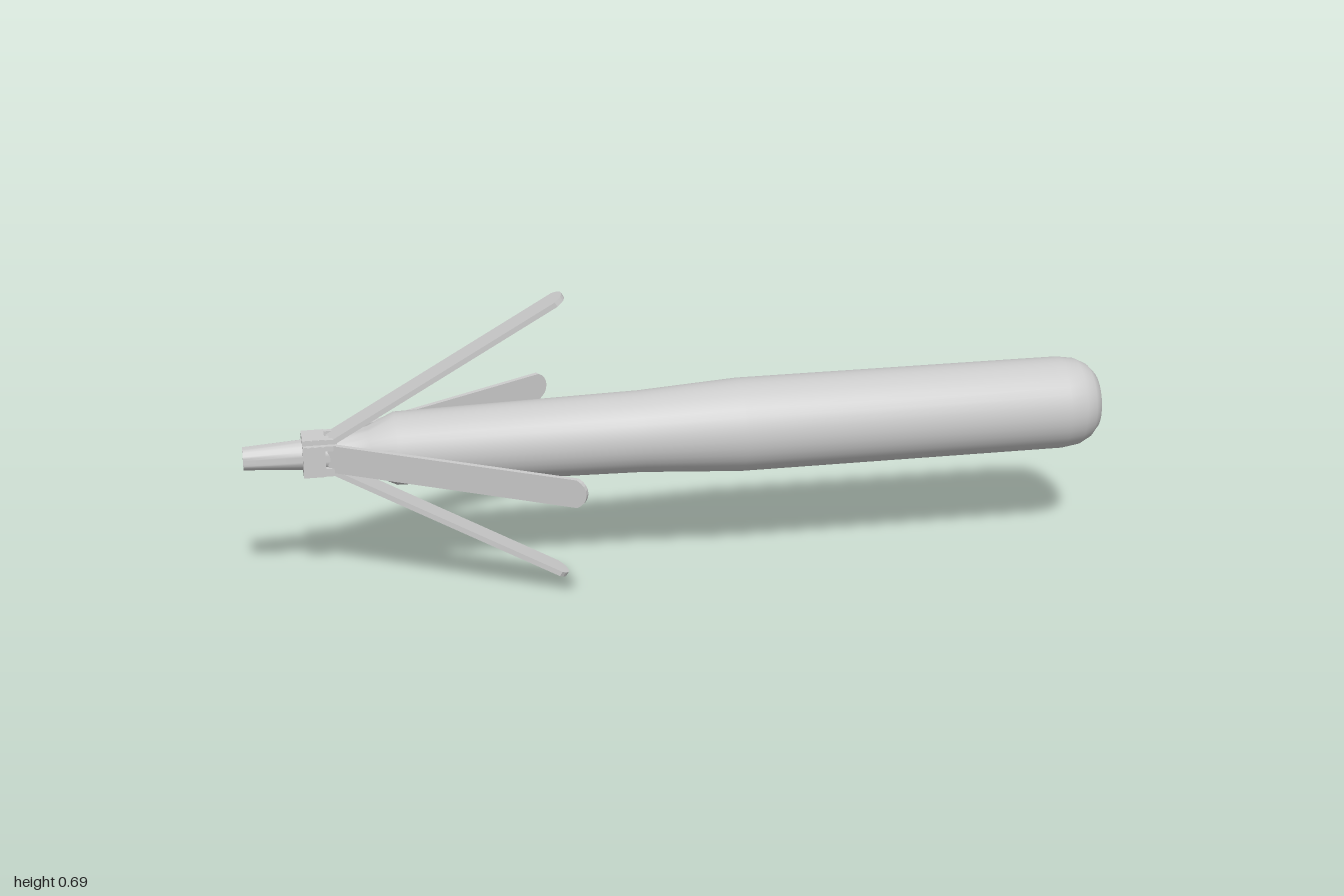
import * as THREE from 'three';
import { toCreasedNormals } from 'three/addons/utils/BufferGeometryUtils.js';

const AXIS_Y = 0.347;

export function createModel() {
  const model = new THREE.Group();
  const material = new THREE.MeshStandardMaterial({ color: 0xcccccc });
  const add = (parent, name, geometry) => {
    const mesh = new THREE.Mesh(geometry, material);
    mesh.name = name;
    parent.add(mesh);
    return mesh;
  };

  // Everything is built around the long axis, then lifted
  const axis = new THREE.Group();
  axis.name = 'projectile';
  axis.position.y = AXIS_Y;
  model.add(axis);

  // Body of revolution: [position along x, radius]
  const profile = [
    [-1, 0], [-1, 0.026], [-0.87, 0.034], [-0.78, 0.042], [-0.72, 0.055],
    [-0.66, 0.083], [-0.1, 0.094], [0.13, 0.108], [0.9, 0.108], [0.94, 0.102],
    [0.967, 0.088], [0.985, 0.068], [0.997, 0.012], [1, 0],
  ].map(([x, r]) => new THREE.Vector2(r, x));
  const body = new THREE.LatheGeometry(profile, 36);
  body.rotateZ(-Math.PI / 2);
  add(axis, 'body', toCreasedNormals(body, Math.PI / 5));

  // Flat fin blade with a rounded tip, lying along x
  const length = 0.62, half = 0.0325, thickness = 0.012;
  const outline = new THREE.Shape();
  outline.moveTo(0, -half);
  outline.lineTo(length - 0.022, -half);
  outline.quadraticCurveTo(length, -half * 0.65, length, 0);
  outline.quadraticCurveTo(length, half * 0.65, length - 0.022, half);
  outline.lineTo(0, half);
  const blade = new THREE.ExtrudeGeometry(outline, {
    depth: thickness, bevelEnabled: false, curveSegments: 4,
  });
  blade.translate(0, 0, -thickness / 2);
  blade.rotateX(-Math.PI / 2);

  // Four folding fins with hinge blocks around the tail
  for (let i = 0; i < 4; i++) {
    const fin = new THREE.Group();
    fin.name = 'finAssembly' + (i + 1);
    fin.rotation.x = (i * Math.PI) / 2;
    axis.add(fin);

    const finBlade = add(fin, 'fin', blade);
    finBlade.position.set(-0.81, 0.031, 0);
    finBlade.rotation.z = Math.PI / 6;

    const base = add(fin, 'hingeBase', new THREE.BoxGeometry(0.05, 0.026, 0.065));
    base.position.set(-0.843, 0.032, 0);
    // Lugs either side of the fin root
    for (const side of [-1, 1]) {
      const lug = add(fin, 'hingeLug', new THREE.BoxGeometry(0.075, 0.022, 0.012));
      lug.position.set(-0.828, 0.033, side * 0.027);
    }
  }
  return model;
}
